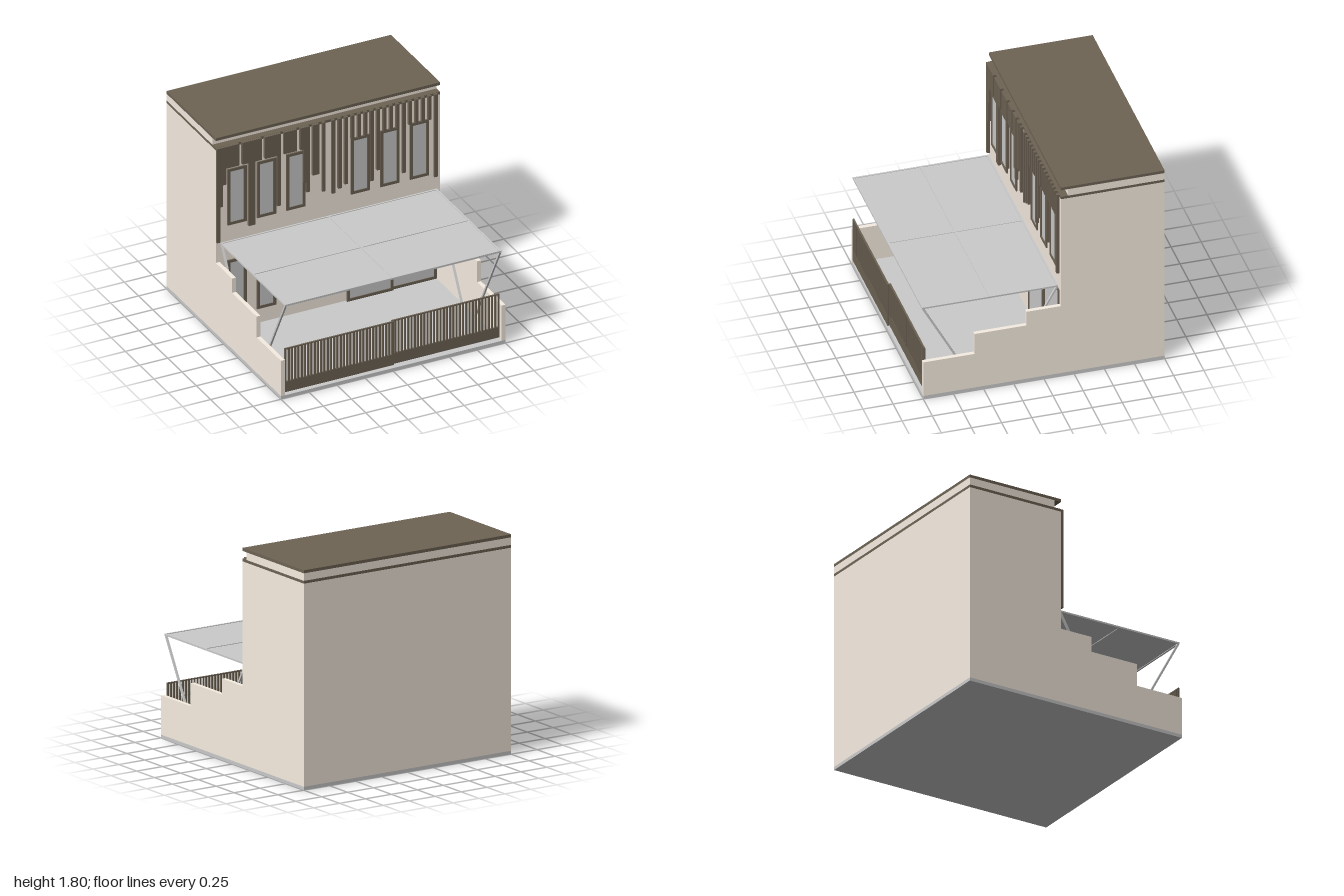
import * as THREE from 'three';

const grey = new THREE.MeshStandardMaterial({ color: 0xcccccc });
const cream = new THREE.MeshStandardMaterial({ color: 0xf8eee2 });
const dark = new THREE.MeshStandardMaterial({ color: 0x6e6455 });
const FACADE = -0.14;

// Box given by its minimum and maximum along each axis
function box(parent, name, mat, [x0, x1], [y0, y1], [z0, z1]) {
  const mesh = new THREE.Mesh(new THREE.BoxGeometry(x1 - x0, y1 - y0, z1 - z0), mat);
  mesh.position.set((x0 + x1) / 2, (y0 + y1) / 2, (z0 + z1) / 2);
  mesh.name = name;
  parent.add(mesh);
  return mesh;
}

function group(parent, name) {
  const g = new THREE.Group();
  g.name = name;
  parent.add(g);
  return g;
}

// Rectangular frame with a hole, and a pane set inside it
function framedPane(parent, name, x0, x1, y0, y1, border, z, depth) {
  const g = group(parent, name);
  const rect = (Type, b) => {
    const s = new Type();
    s.moveTo(x0 + b, y0 + b);
    s.lineTo(x1 - b, y0 + b);
    s.lineTo(x1 - b, y1 - b);
    s.lineTo(x0 + b, y1 - b);
    s.closePath();
    return s;
  };
  const shape = rect(THREE.Shape, 0);
  shape.holes.push(rect(THREE.Path, border));
  const frame = new THREE.Mesh(new THREE.ExtrudeGeometry(shape, { depth, bevelEnabled: false }), dark);
  frame.position.z = z;
  frame.name = 'frame';
  g.add(frame);
  box(g, 'glass', grey, [x0 + border, x1 - border], [y0 + border, y1 - border], [z, z + depth * 0.4]);
}

// Square bar between two points in a plane of constant x
function strut(parent, name, x, z0, y0, z1, y1, size) {
  const bar = new THREE.Mesh(new THREE.BoxGeometry(size, Math.hypot(y1 - y0, z1 - z0), size), grey);
  bar.position.set(x, (y0 + y1) / 2, (z0 + z1) / 2);
  bar.rotation.x = Math.atan2(z1 - z0, y1 - y0);
  bar.name = name;
  parent.add(bar);
}

export function createModel() {
  const model = new THREE.Group();
  model.name = 'terraceHouse';

  // Ground slab, main block and layered roof
  box(model, 'floorSlab', grey, [-1, 1], [0, 0.028], [-1, 1]);
  box(model, 'mainBlock', cream, [-1, 1], [0.028, 1.695], [-1, FACADE]);
  box(model, 'lowerRoofBand', dark, [-1, 1], [1.695, 1.718], [-1, FACADE]);
  box(model, 'parapet', cream, [-1, 1], [1.718, 1.78], [-1, -0.2]);
  box(model, 'roofSlab', dark, [-1, 1], [1.78, 1.805], [-1, FACADE]);

  // Stepped terrace walls
  const profile = new THREE.Shape([
    [FACADE, 0.028], [1, 0.028], [1, 0.35], [0.575, 0.35], [0.575, 0.54],
    [0.145, 0.54], [0.145, 0.67], [FACADE, 0.67],
  ].map(([z, y]) => new THREE.Vector2(-z, y)));
  for (const [name, x] of [['leftTerraceWall', 0.965], ['rightTerraceWall', -1]]) {
    const wall = new THREE.Mesh(new THREE.ExtrudeGeometry(profile, { depth: 0.035, bevelEnabled: false }), cream);
    wall.rotation.y = Math.PI / 2;
    wall.position.x = x;
    wall.name = name;
    model.add(wall);
  }

  // Windows on both floors
  const windows = group(model, 'windows');
  for (const x of [-0.9, -0.637, -0.375, 0.2, 0.462, 0.725]) {
    framedPane(windows, 'upperWindow', x, x + 0.17, 0.99, 1.5, 0.024, FACADE, 0.013);
    if (x < 0) framedPane(windows, 'lowerWindow', x, x + 0.17, 0.16, 0.67, 0.024, FACADE, 0.013);
  }

  // Sliding terrace door
  const door = group(model, 'slidingDoor');
  framedPane(door, 'frontDoorLeaf', 0.16, 0.572, 0.028, 0.8, 0.024, FACADE + 0.01, 0.014);
  framedPane(door, 'rearDoorLeaf', 0.548, 0.965, 0.028, 0.8, 0.024, FACADE, 0.01);

  // Hanging facade slats: left edge, right edge, lower end
  const slats = group(model, 'facadeSlats');
  const panels = [
    [-1, -0.973, 0.86], [-0.973, -0.947, 1.18], [-0.947, -0.917, 1.375], [-0.917, -0.803, 1.52],
    [-0.775, -0.718, 1.52], [-0.718, -0.66, 0.945], [-0.66, -0.601, 1.52],
    [-0.573, -0.461, 1.52], [-0.461, -0.431, 1.06], [-0.403, -0.287, 1.52],
    [-0.259, -0.231, 1.52], [-0.231, -0.203, 1.21], [-0.203, -0.175, 1.12],
    [-0.147, -0.09, 1.26], [-0.06, -0.034, 1.09],
  ];
  const bottoms = [1.05, 1.08, 1.105, 1.5, 1.5, 1.5, 1.075, 1.16, 1.5, 1.5, 1.5, 1.075, 1.5, 1.5, 1.5, 1.5, 0.965];
  bottoms.forEach((y, i) => {
    const x = 0.025 + i * 0.0571;
    panels.push([x, x + 0.028, y]);
  });
  for (const [x0, x1, y] of panels) box(slats, 'slat', dark, [x0, x1], [y, 1.717], [FACADE, -0.115]);

  // Two overlapping railing gates
  for (const [name, x0, x1, z] of [['rightRailing', -0.965, 0.005, 0.987], ['leftRailing', -0.005, 0.957, 0.97]]) {
    const railing = group(model, name);
    box(railing, 'kickPanel', dark, [x0, x1], [0.055, 0.15], [z, z + 0.013]);
    box(railing, 'topRail', dark, [x0, x1], [0.442, 0.452], [z, z + 0.013]);
    const count = 34, width = 0.014;
    for (let i = 0; i < count; i++) {
      const x = x0 + (x1 - x0 - width) * i / (count - 1);
      box(railing, 'baluster', dark, [x, x + width], [0.15, 0.442], [z, z + 0.013]);
    }
  }

  // Terrace canopy with its frame and sloping struts
  const canopy = group(model, 'canopy');
  box(canopy, 'canopySheet', grey, [-0.965, 0.965], [0.84, 0.846], [-0.128, 1]);
  for (const x of [-0.965, -0.0075, 0.95]) box(canopy, 'canopyRib', grey, [x, x + 0.015], [0.836, 0.85], [-0.128, 1]);
  for (const z of [-0.128, 0.43, 0.985]) box(canopy, 'canopyBeam', grey, [-0.965, 0.965], [0.835, 0.851], [z, z + 0.015]);
  for (const x of [-0.956, 0.956]) {
    strut(canopy, 'frontStrut', x, 0.992, 0.838, 0.555, 0.03, 0.016);
    strut(canopy, 'rearStrut', x, -0.122, 0.838, 0.33, 0.03, 0.016);
  }

  return model;
}
